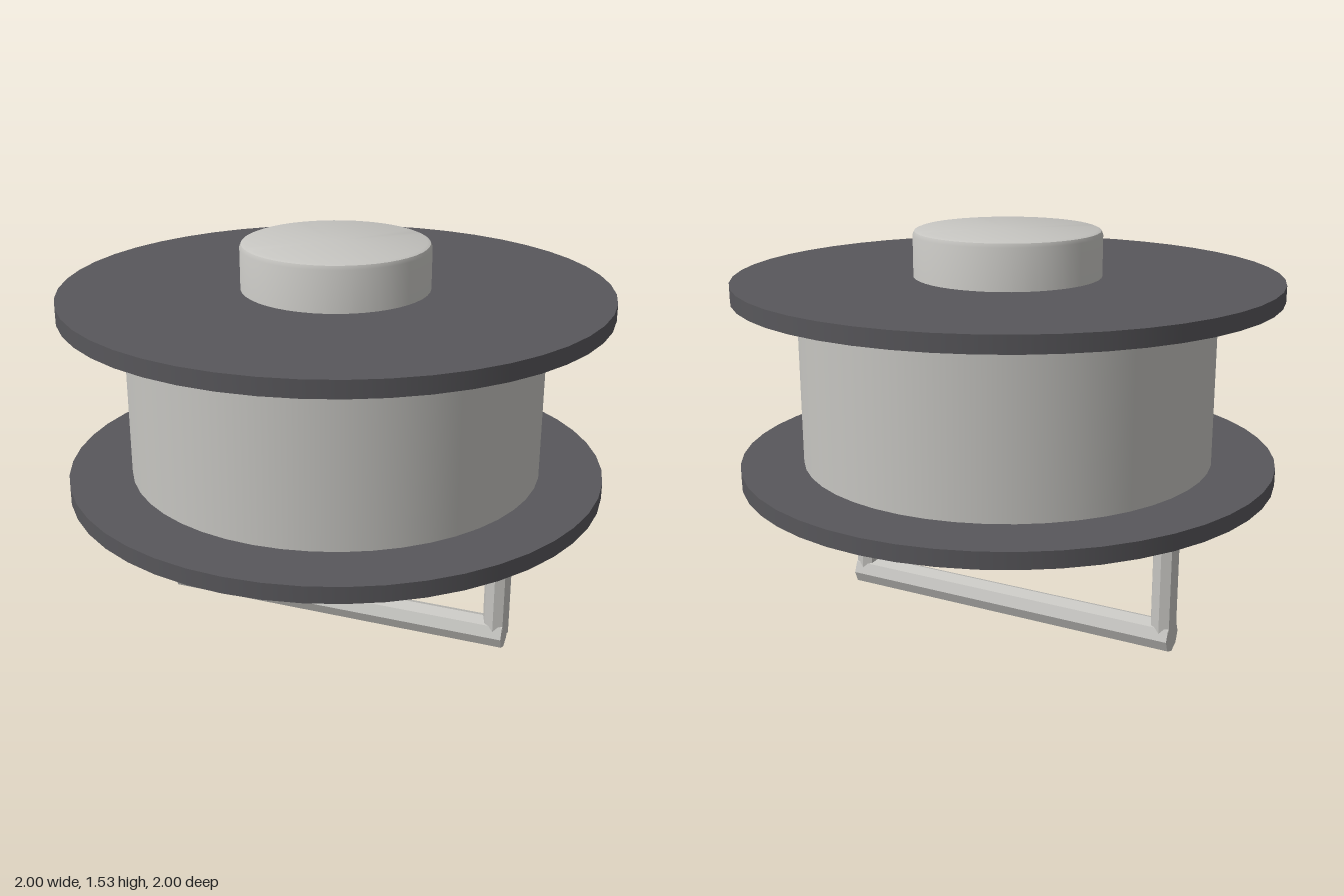
import * as THREE from 'three';
import { toCreasedNormals } from 'three/addons/utils/BufferGeometryUtils.js';

const SEGMENTS = 48;

export function createModel() {
  const model = new THREE.Group();
  model.name = 'spool';

  const lightMetal = new THREE.MeshStandardMaterial({ color: 0xc6c5c1 });
  lightMetal.name = 'lightMetal';
  const darkMetal = new THREE.MeshStandardMaterial({ color: 0x58575b });
  darkMetal.name = 'darkMetal';

  function add(name, geometry, material, x, y, z = 0) {
    const mesh = new THREE.Mesh(geometry, material);
    mesh.name = name;
    mesh.position.set(x, y, z);
    model.add(mesh);
    return mesh;
  }

  // Drum between the two flanges
  add('drum', new THREE.CylinderGeometry(0.768, 0.768, 0.62, SEGMENTS), lightMetal, 0, 0.99);

  // Wide thin flanges
  const flange = new THREE.CylinderGeometry(1, 1, 0.06, SEGMENTS);
  add('lowerFlange', flange, darkMetal, 0, 0.65);
  add('upperFlange', flange, darkMetal, 0, 1.328);

  // Hub through the whole spool, with small bevels at both ends
  const profile = [
    [0, 0.453], [0.327, 0.453], [0.339, 0.458], [0.345, 0.472],
    [0.345, 1.508], [0.339, 1.522], [0.327, 1.527], [0, 1.527],
  ].map(([r, y]) => new THREE.Vector2(r, y));
  const hub = toCreasedNormals(new THREE.LatheGeometry(profile, SEGMENTS), 0.6);
  add('hub', hub, lightMetal, 0, 0);

  // Octagonal handle: two legs joined by a crossbar
  const leg = toCreasedNormals(new THREE.CylinderGeometry(0.05, 0.05, 0.565, 8), 0.5);
  for (const side of [-1, 1]) {
    add(side > 0 ? 'leftLeg' : 'rightLeg', leg, lightMetal, side * 0.655, 0.348);
  }
  const bar = toCreasedNormals(new THREE.CylinderGeometry(0.06, 0.06, 1.38, 8), 0.5);
  bar.rotateZ(Math.PI / 2);
  add('crossbar', bar, lightMetal, 0, 0.06);

  return model;
}
